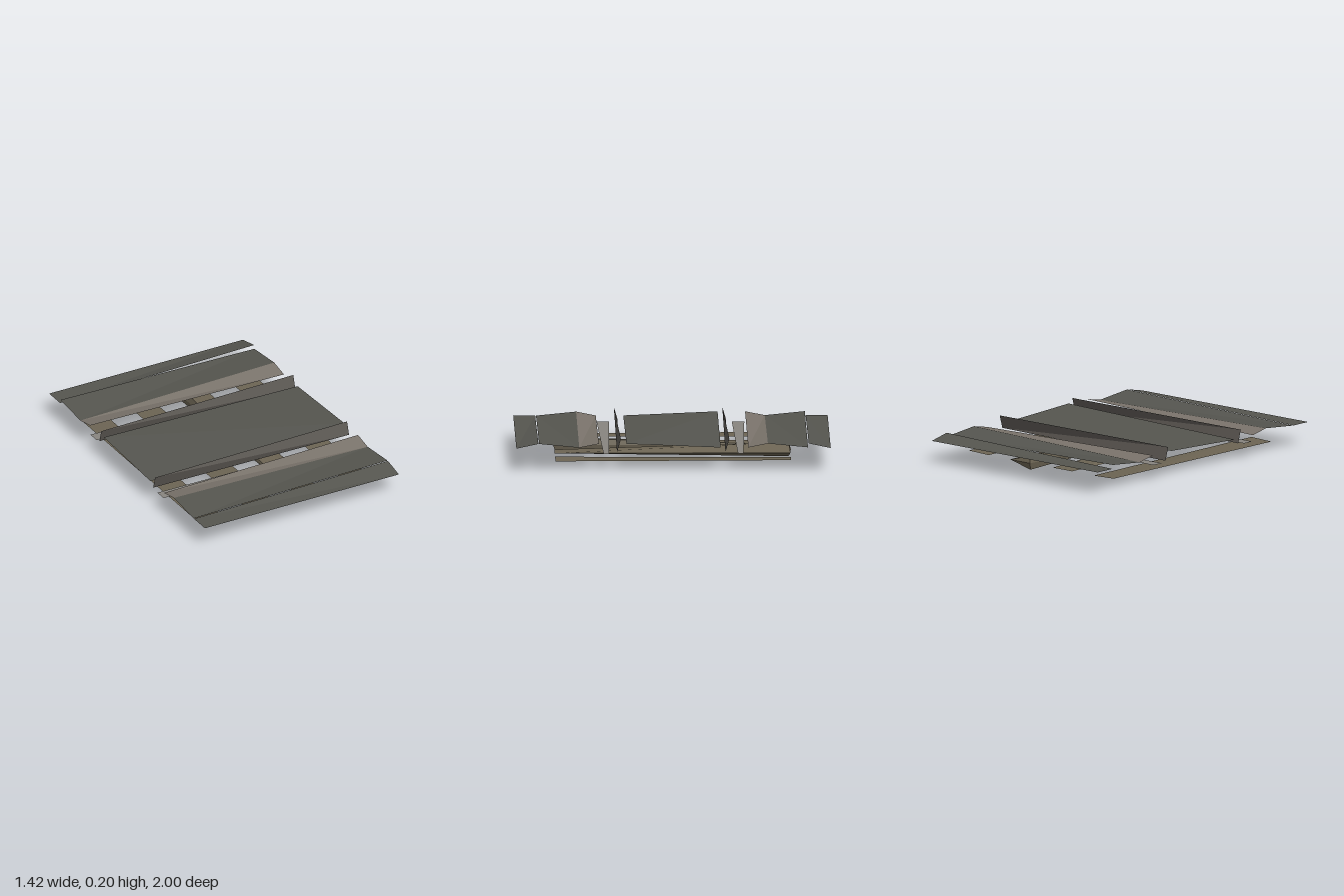
import * as THREE from 'three';

const W = 0.71; // half width of the crossing
const LOW = 0.145, HIGH = 0.17;

const material = (color) =>
  new THREE.MeshStandardMaterial({ color, flatShading: true, side: THREE.DoubleSide });
const asphalt = material(0x55554f);
const concrete = material(0x7a736b);
const steel = material(0x88857f);
const darkSteel = material(0x5c5853);
const timber = material(0x6c6453);

// Faceted mesh from corner points and triangles
function faceted(name, mat, points, faces) {
  const geometry = new THREE.BufferGeometry();
  geometry.setAttribute('position', new THREE.Float32BufferAttribute(faces.flat().flatMap((i) => points[i]), 3));
  geometry.computeVertexNormals();
  const mesh = new THREE.Mesh(geometry, mat);
  mesh.name = name;
  return mesh;
}

// Four-cornered sheet, folded along the first-to-third corner
const sheet = (name, mat, ...corners) => faceted(name, mat, corners, [[0, 1, 2], [0, 2, 3]]);

// Slightly twisted panel across the road, low at two opposite corners
function panel(name, mat, zA, zB, lowA) {
  const s = lowA * W;
  return sheet(name, mat, [s, LOW, zA], [-s, HIGH, zA], [-s, LOW, zB], [s, HIGH, zB]);
}

// Sleeper that is tall at one end and tapers to a flat edge at the other
function wedgeSleeper() {
  const points = [
    [-0.1, 0.09, 0.74], [-0.1, 0, 0.74], [-0.09, 0.045, 0.755], [-0.265, 0.045, 0.75],
    [-0.1, 0.045, -0.75], [-0.265, 0.045, -0.75],
  ];
  return faceted('innerSleeper', timber, points, [
    [0, 3, 2], [3, 1, 2], // end
    [0, 4, 5], [0, 5, 3], // top
    [1, 5, 4], [1, 3, 5], // bottom
    [0, 2, 4], [2, 1, 4], // inner side
  ]);
}

export function createModel() {
  const group = new THREE.Group();
  group.name = 'levelCrossing';

  // Centre deck between the rails
  group.add(sheet('centreDeck', asphalt,
    [W, HIGH, 0.3], [-W, LOW, 0.3], [-W, HIGH, -0.3], [W, LOW, -0.3]));

  for (const s of [1, -1]) {
    // Road approach: sloping lip, road panel and edge panel
    group.add(sheet('approachLip', asphalt,
      [W, 0.14, s], [-W, 0.145, s], [-W, LOW, 0.86 * s], [W, HIGH, 0.86 * s]));
    group.add(panel('approachPanel', asphalt, 0.855 * s, 0.6 * s, -s));
    group.add(panel('edgePanel', concrete, 0.6 * s, 0.475 * s, s));

    // Rail: upright twisted web and a tapering foot
    const z = s > 0 ? 0.335 : -0.355;
    group.add(sheet('railWeb', darkSteel,
      [W, 0.115, z + 0.025], [W, 0.2, z], [-W, 0.2, z + 0.025], [-W, 0.115, z]));
    group.add(sheet('railFoot', steel,
      [-W, 0.105, 0.39 * s], [-W, 0.105, 0.47 * s], [W, 0.105, 0.445 * s], [W, 0.105, 0.41 * s]));

    // Sleepers underneath
    const inner = wedgeSleeper();
    inner.rotation.y = s > 0 ? 0 : Math.PI;
    group.add(inner);
    group.add(sheet('outerSleeper', timber,
      [0.45 * s, 0.05, 0.75], [0.62 * s, 0.045, 0.75], [0.62 * s, 0.05, -0.75], [0.45 * s, 0.045, -0.75]));
  }
  return group;
}
